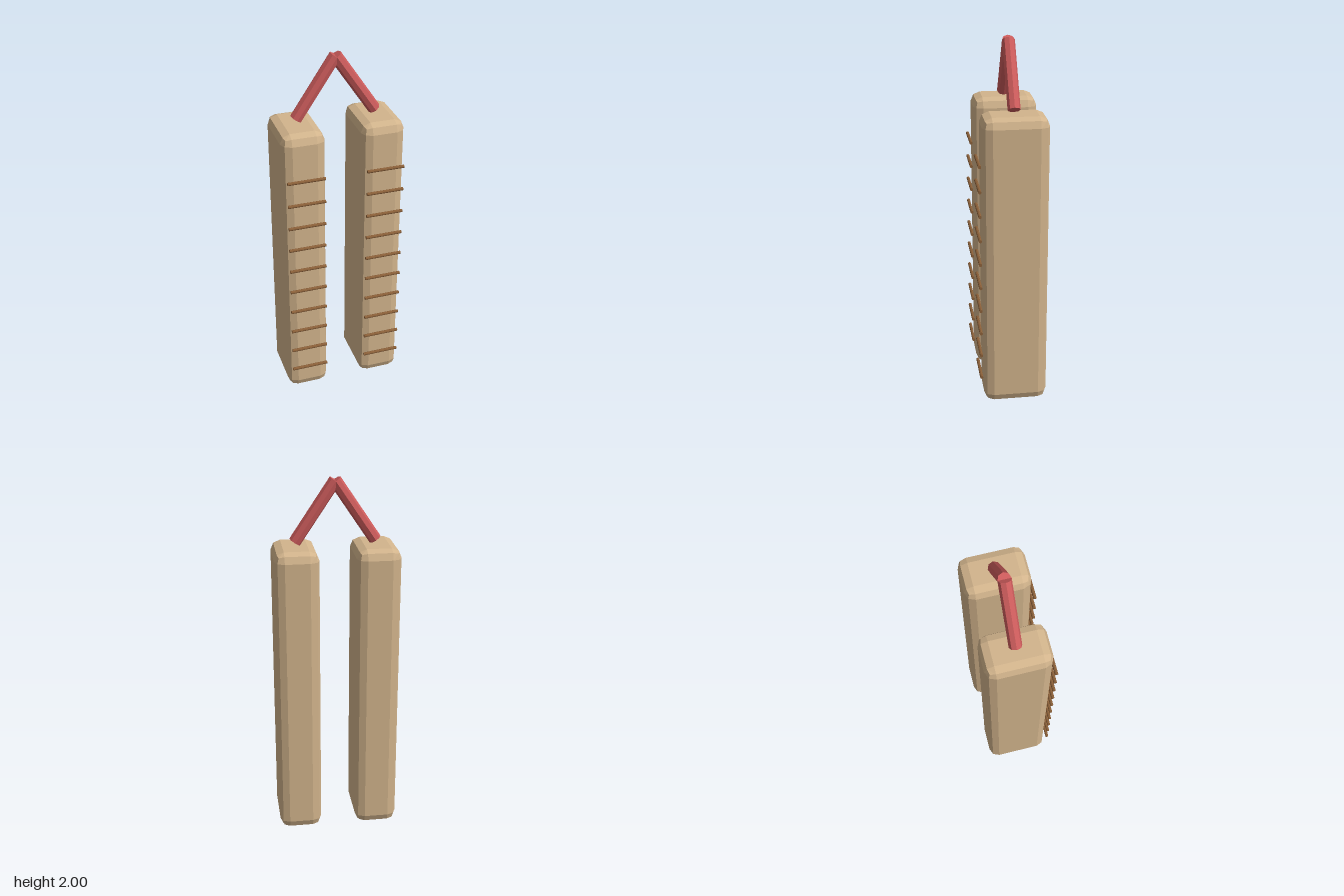
import * as THREE from 'three';
import { RoundedBoxGeometry } from 'three/addons/geometries/RoundedBoxGeometry.js';

const mat = (color) => new THREE.MeshStandardMaterial({ color, flatShading: true });

export function createModel() {
  const model = new THREE.Group();
  const tan = mat(0xd2b48c), brown = mat(0x8b6039), red = mat(0xcd5c5c);

  const barX = 0.217, barZ = -0.014, barHeight = 1.64;
  const barGeo = new RoundedBoxGeometry(0.237, barHeight, 0.351, 1, 0.052);
  const ridgeGeo = new THREE.CylinderGeometry(0.009, 0.009, 0.205, 8).rotateZ(Math.PI / 2);

  // Cord runs from the top of each bar up to the shared apex
  const apex = new THREE.Vector3(0, 1.982, barZ);
  const cordGeo = new THREE.CylinderGeometry(0.034, 0.034, Math.hypot(0.215, 0.321), 8);

  for (const [side, s] of [['left', 1], ['right', -1]]) {
    const half = new THREE.Group();
    half.name = side + 'Half';

    // Bar with chamfered edges
    const bar = new THREE.Mesh(barGeo, tan);
    bar.name = side + 'Bar';
    bar.position.set(s * barX, barHeight / 2 + 0.002, barZ);
    half.add(bar);

    // Row of thin ridges just in front of the bar
    const ridges = new THREE.Group();
    ridges.name = side + 'Ridges';
    for (let i = 0; i < 10; i++) {
      const ridge = new THREE.Mesh(ridgeGeo, brown);
      ridge.name = 'ridge';
      ridge.position.set(s * barX, 0.164 + i * 0.1366, 0.178);
      ridges.add(ridge);
    }
    half.add(ridges);

    // Slanted cord
    const foot = new THREE.Vector3(s * 0.215, 1.661, barZ);
    const cord = new THREE.Mesh(cordGeo, red);
    cord.name = side + 'Cord';
    cord.position.copy(foot).lerp(apex, 0.5);
    cord.rotation.z = s * Math.atan2(0.215, 0.321);
    half.add(cord);

    model.add(half);
  }
  return model;
}
